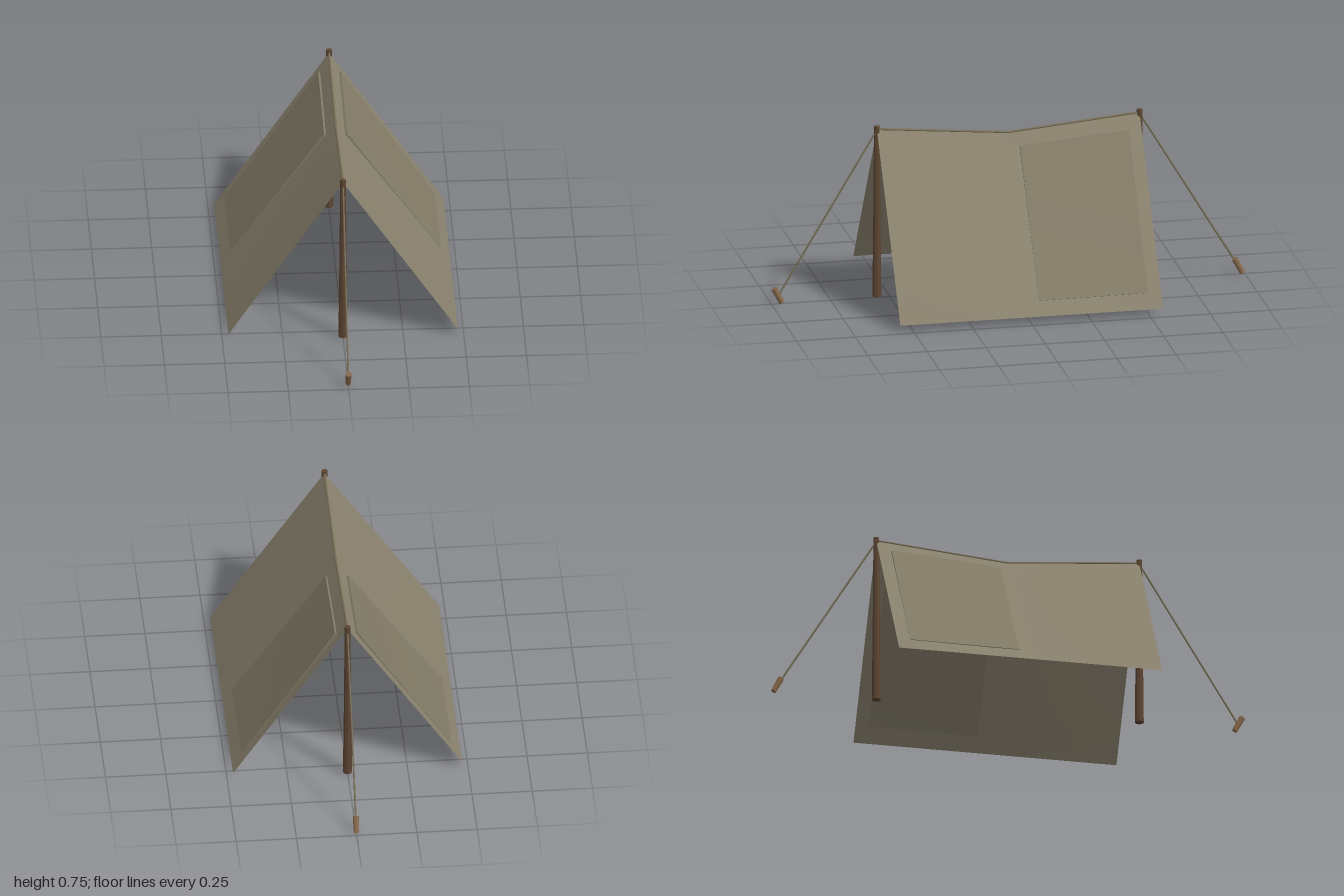
import * as THREE from 'three';
import { toCreasedNormals } from 'three/addons/utils/BufferGeometryUtils.js';

const canvasMat = new THREE.MeshStandardMaterial({ color: 0x8a826e, side: THREE.DoubleSide });
const flapMat = new THREE.MeshStandardMaterial({ color: 0x827b67, side: THREE.DoubleSide });
const woodMat = new THREE.MeshStandardMaterial({ color: 0x5c4532, flatShading: true });
const stakeMat = new THREE.MeshStandardMaterial({ color: 0x86684a, flatShading: true });
const ropeMat = new THREE.MeshStandardMaterial({ color: 0x7a7058 });

const HALF_LENGTH = 0.555, HALF_WIDTH = 0.475, HEM = 0.03;
const ridgeHeight = (z) => 0.684 + 0.05 * Math.abs(z) / HALF_LENGTH;

// Point on a roof slope: u runs from ridge (0) to hem (1), offset is outward
function slopePoint(side, u, z, offset) {
  const y = THREE.MathUtils.lerp(ridgeHeight(z), HEM, u);
  return [side * (HALF_WIDTH * u + 0.83 * offset), y + 0.56 * offset, z];
}

// Bends a unit plane or box (x, y, z in -0.5..0.5) onto a slope
function ontoSlope(geometry, side, u0, u1, z0, z1, offsetAt) {
  const p = geometry.attributes.position;
  for (let i = 0; i < p.count; i++) {
    const t = 0.5 - p.getY(i);
    const z = THREE.MathUtils.lerp(z0, z1, p.getX(i) + 0.5);
    const u = THREE.MathUtils.lerp(u0, u1, t);
    p.setXYZ(i, ...slopePoint(side, u, z, offsetAt(t, p.getZ(i))));
  }
  return toCreasedNormals(geometry, 0.5);
}

function add(group, name, geometry, material) {
  const mesh = new THREE.Mesh(geometry, material);
  mesh.name = name;
  group.add(mesh);
  return mesh;
}

// Cylinder between two points
function rod(group, name, a, b, rTop, rBottom, sides, material) {
  const from = new THREE.Vector3(...a), to = new THREE.Vector3(...b);
  const dir = to.clone().sub(from);
  const mesh = add(group, name, new THREE.CylinderGeometry(rTop, rBottom, dir.length(), sides), material);
  mesh.position.copy(from).add(to).multiplyScalar(0.5);
  mesh.quaternion.setFromUnitVectors(new THREE.Vector3(0, 1, 0), dir.normalize());
  return mesh;
}

export function createModel() {
  const tent = new THREE.Group();
  tent.name = 'ridgeTent';

  for (const side of [-1, 1]) {
    const label = side > 0 ? 'left' : 'right';
    // Roof slope, creased where the ridge sags in the middle
    add(tent, label + 'Canvas', ontoSlope(
      new THREE.PlaneGeometry(1, 1, 2, 8), side, 0, 1, -HALF_LENGTH, HALF_LENGTH, () => 0), canvasMat);
    // Sewn panel that stands proud at its top and flattens towards the hem
    add(tent, label + 'Panel', ontoSlope(
      new THREE.BoxGeometry(1, 1, 1, 1, 10, 1), side, 0.084, 0.915, -0.5, -0.04,
      (t, layer) => (layer > 0 ? 0.002 + 0.007 * (1 - t) ** 2 : -0.003)), flapMat);
  }

  for (const end of [-1, 1]) {
    const label = end > 0 ? 'front' : 'back';
    const z = end * 0.555;
    // Half of the ridge line
    rod(tent, label + 'RidgeRope', [0, ridgeHeight(0), 0], [0, 0.734, z], 0.005, 0.005, 6, ropeMat);
    // Tapered pole with a thicker foot
    const profile = [[0, 0.008], [0.019, 0.008], [0.018, 0.11], [0.016, 0.27],
      [0.0135, 0.55], [0.012, 0.747], [0, 0.747]].map(([r, y]) => new THREE.Vector2(r, y));
    add(tent, label + 'Pole', new THREE.LatheGeometry(profile, 8), woodMat).position.z = z;
    // Guy rope down to its stake
    rod(tent, label + 'GuyRope', [0, 0.045, end * 0.967], [0, 0.73, z], 0.004, 0.004, 6, ropeMat);
    // Stake, leaning the same way at both ends
    const sz = end * 0.973;
    rod(tent, label + 'Stake', [0, 0.007, sz - 0.016], [0, 0.069, sz + 0.016], 0.013, 0.011, 8, stakeMat);
  }
  return tent;
}
